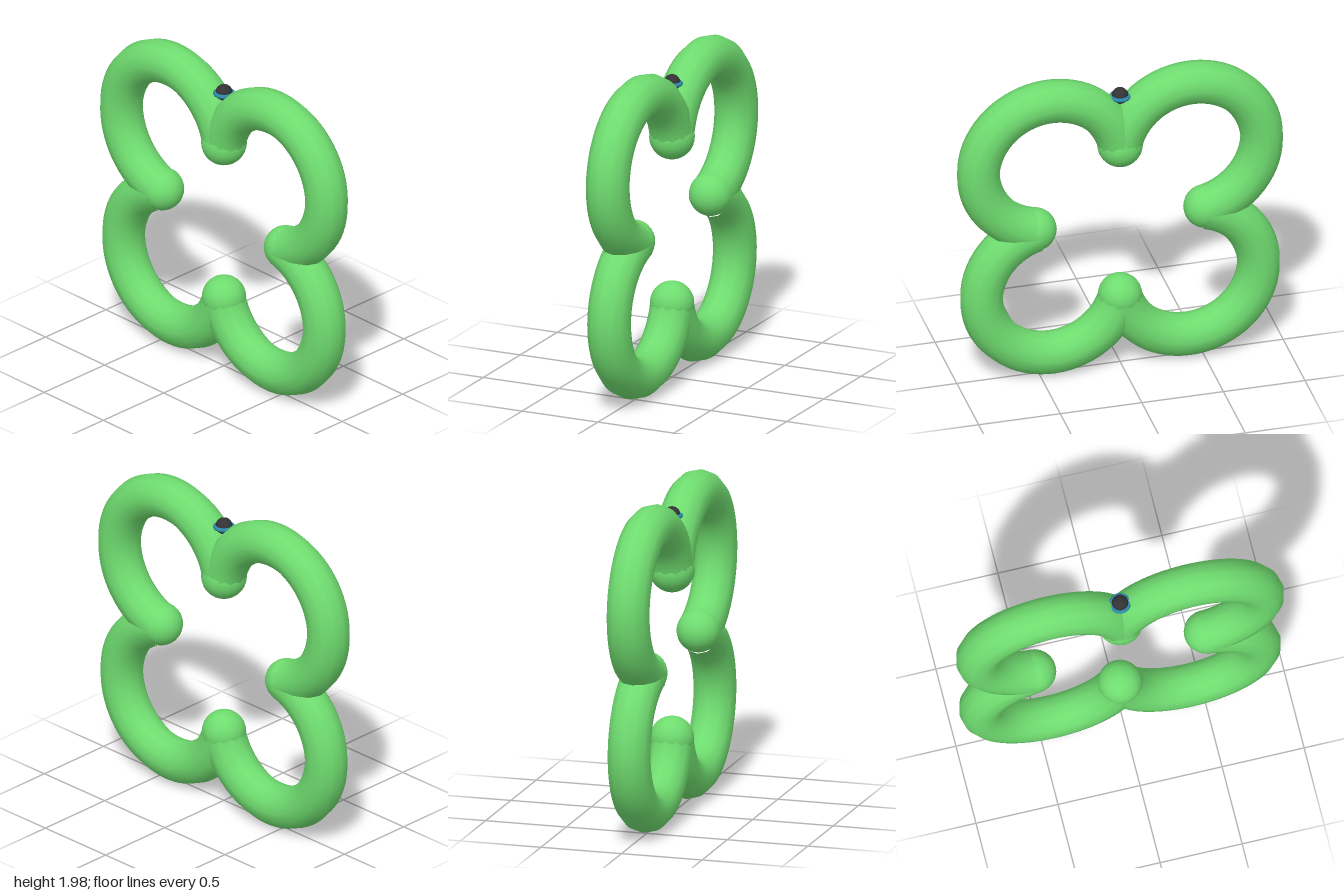
import * as THREE from 'three';

const TUBE = 0.13;

// Open ring segment running through both end points around a centre
function lobe(name, cx, cy, radius, fromDeg, toDeg, material) {
  const start = THREE.MathUtils.degToRad(fromDeg);
  const arc = THREE.MathUtils.degToRad(toDeg - fromDeg);
  const geometry = new THREE.TorusGeometry(radius, TUBE, 12, 48, arc);
  geometry.rotateZ(start);
  const mesh = new THREE.Mesh(geometry, material);
  mesh.name = name;
  mesh.position.set(cx, cy, 0);
  return mesh;
}

function ball(name, x, y, radius, material) {
  const mesh = new THREE.Mesh(new THREE.SphereGeometry(radius, 24, 16), material);
  mesh.name = name;
  mesh.position.set(x, y, 0);
  return mesh;
}

export function createModel() {
  const group = new THREE.Group();
  group.name = 'cloverFrame';
  const green = new THREE.MeshStandardMaterial({ color: 0x6fdc6f });
  const dark = new THREE.MeshStandardMaterial({ color: 0x333336 });
  const blue = new THREE.MeshStandardMaterial({ color: 0x2a8aa8 });

  // Four lobes, the right-hand pair mirrored to the other side
  group.add(
    lobe('upperLeftLobe', 0.432, 1.418, 0.436, -78, 170, green),
    lobe('upperRightLobe', -0.432, 1.418, 0.436, 10, 258, green),
    lobe('lowerLeftLobe', 0.418, 0.565, 0.431, -167, 77, green),
    lobe('lowerRightLobe', -0.418, 0.565, 0.431, 103, 347, green),
  );

  // Rounded tips where neighbouring lobes meet
  group.add(
    ball('topTip', 0, 1.495, 0.136, green),
    ball('bottomTip', 0, 0.465, 0.132, green),
    ball('leftTip', 0.522, 0.992, 0.13, green),
    ball('rightTip', -0.522, 0.992, 0.13, green),
  );

  // Small bead with a collar in the top notch
  group.add(ball('bead', 0, 1.83, 0.05, dark));
  const collar = new THREE.Mesh(new THREE.TorusGeometry(0.052, 0.013, 10, 32), blue);
  collar.name = 'beadCollar';
  collar.rotation.x = Math.PI / 2;
  collar.position.y = 1.825;
  group.add(collar);

  return group;
}
